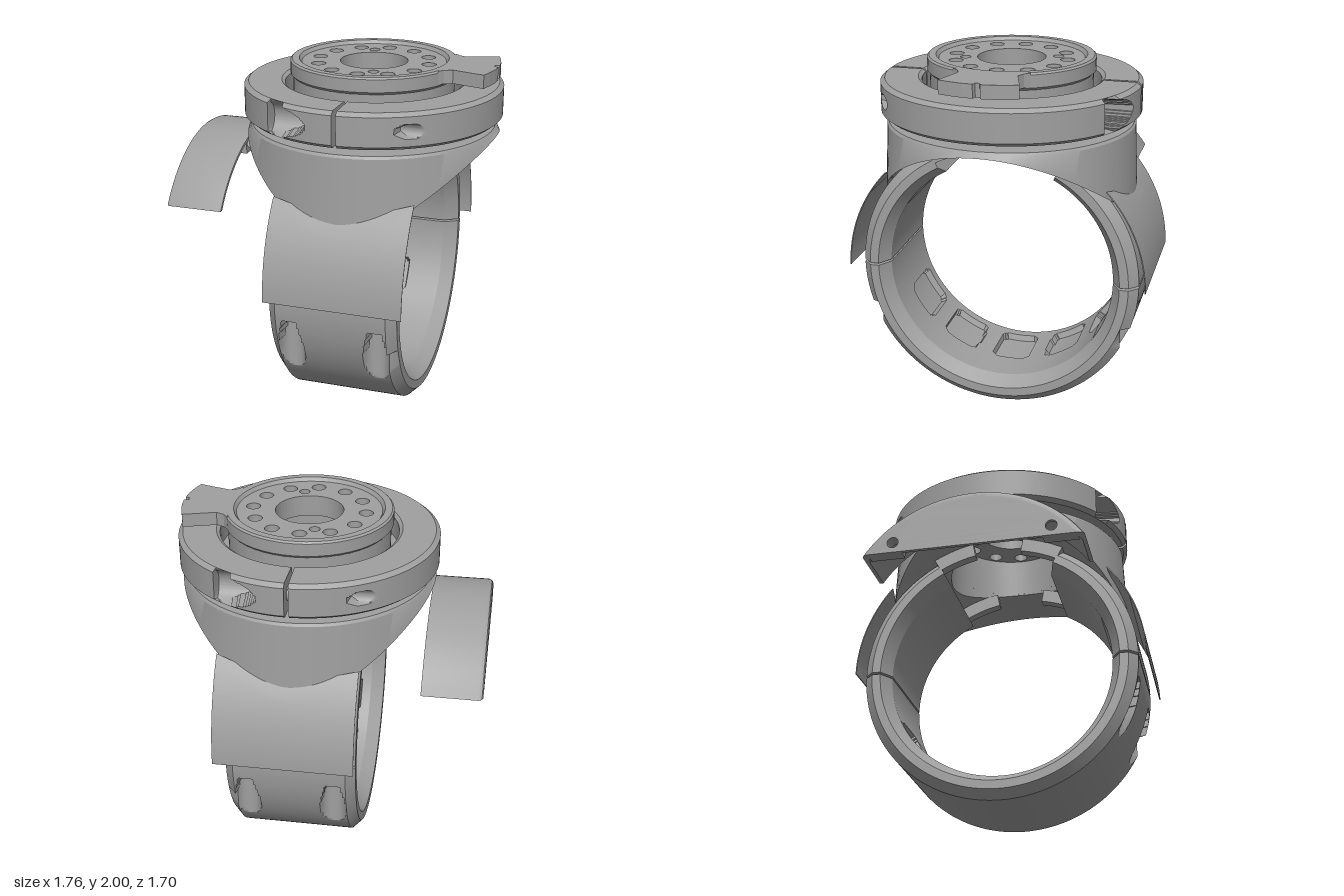
import * as THREE from 'three';
import { toCreasedNormals } from 'three/addons/utils/BufferGeometryUtils.js';

const metal = new THREE.MeshStandardMaterial({ color: 0xa0a0a0 });
metal.name = 'grey metal';
const CX = 0.15; // vertical axis of the clamp and head
const RY = 0.8;  // height of the horizontal ring axis

// Sweeps a closed profile of [a, b] points through u; open sweeps get end caps.
function solid(profile, steps, u0, u1, place, closed = false) {
  const n = profile.length, pos = [], idx = [];
  const rows = closed ? steps : steps + 1;
  for (let i = 0; i < rows; i++) {
    const u = u0 + (u1 - u0) * i / steps;
    for (const [a, b] of profile) pos.push(...place(u, a, b));
  }
  for (let i = 0; i < steps; i++) {
    const r0 = i * n, r1 = ((i + 1) % rows) * n;
    for (let j = 0; j < n; j++) {
      const k = (j + 1) % n;
      idx.push(r0 + j, r1 + j, r1 + k, r0 + j, r1 + k, r0 + k);
    }
  }
  if (!closed) {
    for (const row of [0, steps]) {
      const c = [0, 0, 0], centre = pos.length / 3;
      for (let j = 0; j < n; j++) for (let d = 0; d < 3; d++) c[d] += pos[(row * n + j) * 3 + d] / n;
      pos.push(...c);
      for (let j = 0; j < n; j++) {
        const p = row * n + j, q = row * n + (j + 1) % n;
        idx.push(...(row === 0 ? [centre, p, q] : [centre, q, p]));
      }
    }
  }
  // Turn the faces outwards, judged by the enclosed volume.
  const P = i => new THREE.Vector3().fromArray(pos, i * 3);
  let volume = 0;
  for (let i = 0; i < idx.length; i += 3) volume += P(idx[i]).dot(P(idx[i + 1]).cross(P(idx[i + 2])));
  if (volume < 0) idx.reverse();
  const g = new THREE.BufferGeometry();
  g.setAttribute('position', new THREE.Float32BufferAttribute(pos, 3));
  g.setIndex(idx);
  return toCreasedNormals(g, 0.5);
}

// Evenly spaced profile points from one corner to the next, end excluded.
function line(a, b, n) {
  return Array.from({ length: n }, (_, i) => [a[0] + (b[0] - a[0]) * i / n, a[1] + (b[1] - a[1]) * i / n]);
}

const turn = (u, r, y) => [CX + r * Math.cos(u), y, r * Math.sin(u)];

// Shape in (z, y) pushed along x.
function extrudeX(shape, x, depth) {
  const g = new THREE.ExtrudeGeometry(shape, { depth, bevelEnabled: false, curveSegments: 32 });
  return g.rotateY(Math.PI / 2).translate(x, 0, 0);
}

// Shape in (x, -z) about the vertical axis, pushed up along y.
function extrudeY(shape, y, depth) {
  const g = new THREE.ExtrudeGeometry(shape, { depth, bevelEnabled: false, curveSegments: 24 });
  return g.rotateX(-Math.PI / 2).translate(CX, y, 0);
}

function addHole(shape, x, y, r) {
  const p = new THREE.Path();
  p.absarc(x, y, r, 0, Math.PI * 2, true);
  shape.holes.push(p);
}

// Place on the horizontal ring, angle measured from the bottom; cuts bolt slots and inner pockets.
function ringPlace(a, x, r) {
  if (r < 0.66 && Math.abs(a) < 1.4) {
    for (let k = -2; k <= 2; k++) {
      const da = (a - k * 0.5) / 0.17, dx = (x - 0.07) / 0.15;
      if (da ** 6 + dx ** 6 < 1) { r += 0.035; break; }
    }
  }
  const y = RY - r * Math.cos(a);
  let z = r * Math.sin(a);
  if (r > 0.79 && y > 0.3 && y < 0.68) {
    for (const xs of [-0.095, 0.395]) {
      const dx = x - xs, off = Math.abs(z) - 0.73;
      if (dx * dx + off * off < 0.0049) z = Math.sign(z) * (0.73 - Math.sqrt(0.0049 - dx * dx));
    }
  }
  return [x, y, z];
}

// Place on the clamp collar; cuts the cross-bolt counterbores and exits.
function collarPlace(u, r, y) {
  let [x, , z] = turn(u, r, y);
  if (r > 0.72) {
    const s = Math.sign(z) || 1, sx = (x - CX) * s, dy = y - 1.78, off = Math.abs(z) - 0.62;
    const bore = sx < -0.17 && sx > -0.4 ? 0.09 : sx > 0.28 && sx < 0.48 ? 0.04 : 0;
    if (dy * dy + off * off < bore * bore) z = s * (0.62 - Math.sqrt(bore * bore - dy * dy));
  }
  return [x, y, z];
}

export function createModel() {
  const model = new THREE.Group();
  const add = (name, geometry) => {
    const m = new THREE.Mesh(geometry, metal);
    m.name = name;
    model.add(m);
    return m;
  };

  // Split ring around the horizontal bar
  const ringProfile = (n, m) => [
    ...line([-0.17, 0.8], [0.46, 0.8], n), [0.46, 0.8], [0.51, 0.75], [0.51, 0.7],
    ...line([0.43, 0.65], [-0.14, 0.65], m), [-0.14, 0.65], [-0.22, 0.7], [-0.22, 0.75],
  ];
  add('lowerRing', solid(ringProfile(63, 50), 180, -Math.PI / 2 + 0.006, Math.PI / 2 - 0.006, ringPlace));
  for (const s of [1, -1]) {
    const side = s > 0 ? 'Front' : 'Back';
    add('upperRing' + side, solid(ringProfile(1, 1), 32, s * (Math.PI / 2 + 0.012), s * (Math.PI - 0.49), ringPlace));
    // Thin rim strips that carry on above the thick part
    for (const [x0, x1] of [[-0.22, -0.16], [0.45, 0.51]]) {
      add('upperRim' + side, solid([[x0, 0.73], [x1, 0.73], [x1, 0.81], [x0, 0.81]], 8,
        s * (Math.PI - 0.5), s * (Math.PI - 0.19), ringPlace));
    }
    // Thin outer guard, trimmed to the round saddle
    const guard = [...line([-0.22, 0.852], [0.56, 0.852], 30), [0.56, 0.852],
      ...line([0.56, 0.846], [-0.22, 0.846], 30), [-0.22, 0.846]];
    add('guard' + side, solid(guard, 16, 0, 1, (t, x, r) => {
      const end = Math.acos(Math.sqrt(0.745 ** 2 - (x - CX) ** 2) / 0.85);
      const a = 0.012 + (end - 0.012) * t;
      return [x, RY + r * Math.sin(a), s * r * Math.cos(a)];
    }));
  }

  // Saddle: round body with its underside cut to the ring; y = 0 marks a cut point
  const saddle = [[0.37, 1.64], [0.69, 1.64], [0.7, 1.625], [0.717, 0],
    [0.66, 0], [0.6, 0], [0.54, 0], [0.48, 0], [0.42, 0], [0.37, 0]];
  add('saddle', solid(saddle, 96, 0, Math.PI * 2, (u, r, y) =>
    turn(u, r, y || RY + Math.sqrt(0.81 ** 2 - (r * Math.sin(u)) ** 2)), true));

  // Neck between saddle, collar and head
  add('neck', solid([[0.37, 1.62], [0.54, 1.62], [0.505, 1.66], [0.505, 1.75], [0.455, 1.75],
    [0.455, 1.92], [0.37, 1.92]], 64, 0, Math.PI * 2, turn, true));

  // Two-piece clamp collar with a narrow gap
  const collar = [[0.5, 1.68], [0.705, 1.68], ...line([0.73, 1.7], [0.73, 1.86], 24),
    [0.73, 1.86], [0.705, 1.88], [0.52, 1.88], [0.5, 1.865]];
  for (const [name, mid] of [['collarLeft', 0], ['collarRight', Math.PI]]) {
    add(name, solid(collar, 150, mid - Math.PI / 2 + 0.016, mid + Math.PI / 2 - 0.016, collarPlace));
  }
  for (const z of [0.62, -0.62]) {
    const bolt = new THREE.CylinderGeometry(0.04, 0.04, 0.12, 20).rotateZ(Math.PI / 2);
    add('collarBolt', bolt).position.set(CX, 1.78, z);
  }

  // Turning head: rim, drilled plate and pointer tab
  add('headRim', solid([[0.4, 1.9], [0.45, 1.9], [0.47, 1.92], [0.47, 1.99], [0.46, 2], [0.42, 2],
    [0.41, 1.985], [0.4, 1.97]], 48, 0, Math.PI * 2, turn, true));
  const plate = new THREE.Shape().absarc(0, 0, 0.405, 0, Math.PI * 2);
  addHole(plate, 0, 0, 0.19);
  for (let i = 0; i < 12; i++) {
    const a = i * Math.PI / 6;
    addHole(plate, 0.317 * Math.cos(a), 0.317 * Math.sin(a), 0.04);
  }
  addHole(plate, -0.07, 0.25, 0.03);
  addHole(plate, 0.07, -0.245, 0.03);
  add('headPlate', extrudeY(plate, 1.86, 0.12));

  const half = [[0.42, 0.21], [0.445, 0.18], [0.49, 0.16], [0.67, 0.215], [0.69, 0.15], [0.705, 0.08], [0.71, 0.02], [0.685, 0.012]];
  const outline = [...half, ...half.slice().reverse().map(([x, z]) => [x, -z])];
  add('pointerTab', extrudeY(new THREE.Shape(outline.map(p => new THREE.Vector2(...p))), 1.925, 0.075));

  // Separate end cover: curved shell, side wall with two holes, and end lugs
  const shell = [[-0.55, 0.74], [-0.55, 0.722], [-0.86, 0.722], [-0.885, 0.7], [-0.885, 0.715],
    [-0.878, 0.731], [-0.86, 0.74]];
  add('coverShell', solid(shell, 48, -1, 1, (t, x, r) => {
    const a = t * Math.acos(0.41 / r);
    return [x, RY + r * Math.cos(a), r * Math.sin(a)];
  }));
  const edge = Math.asin(0.41 / 0.715);
  const wall = new THREE.Shape().absarc(0, RY, 0.715, edge, Math.PI - edge);
  for (const z of [0.44, -0.44]) addHole(wall, z, 1.27, 0.032);
  add('coverWall', extrudeX(wall, -0.885, 0.02));
  for (const s of [1, -1]) {
    const lug = new THREE.Shape([[0.39, 1.21], [0.58, 1.21], [0.5, 1.31], [0.39, 1.4]]
      .map(([z, y]) => new THREE.Vector2(s * z, y)));
    addHole(lug, s * 0.44, 1.27, 0.032);
    add('coverLug', extrudeX(lug, -0.865, 0.06));
  }
  return model;
}
